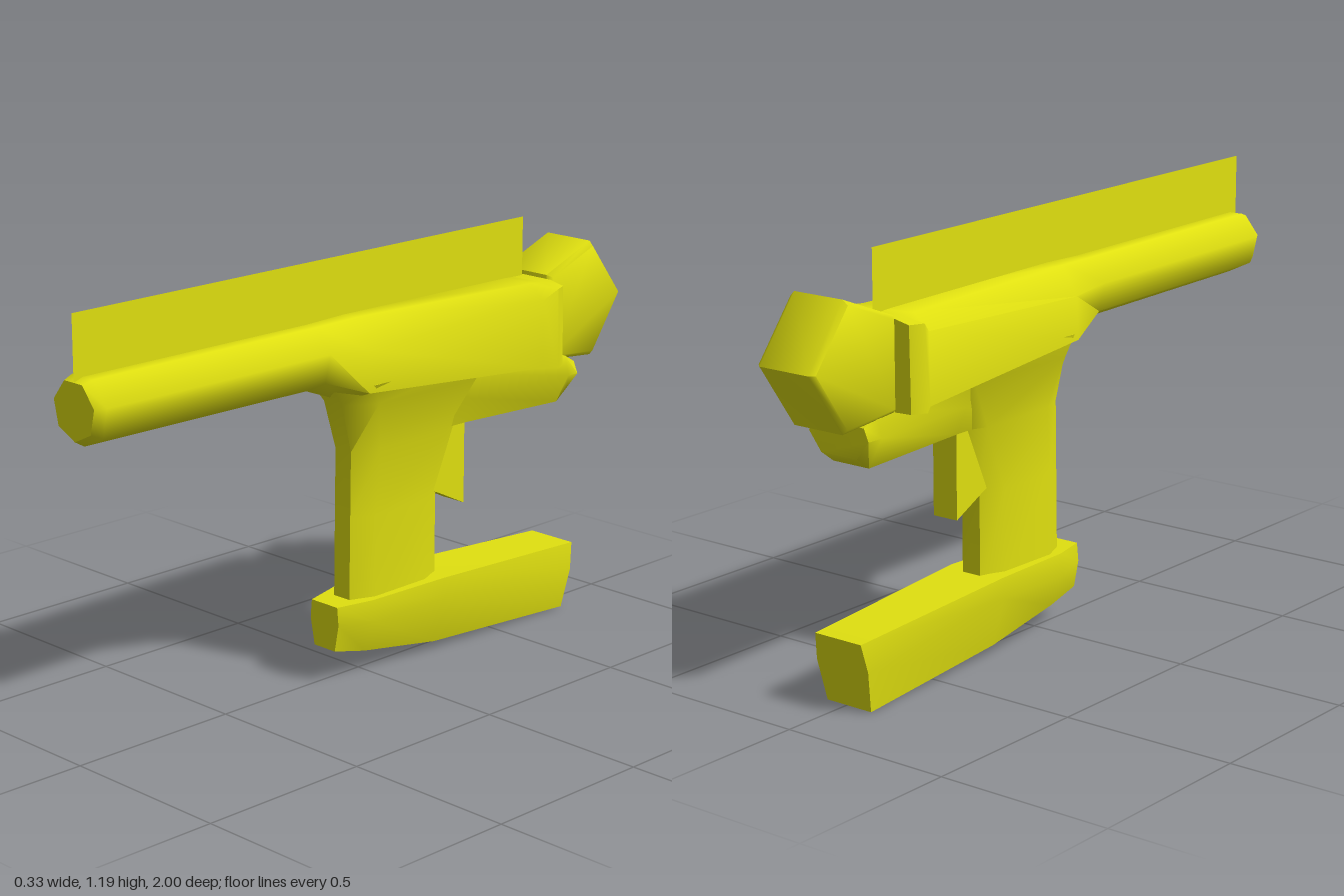
import * as THREE from 'three';
import { toCreasedNormals } from 'three/addons/utils/BufferGeometryUtils.js';

// Skin a list of rings (each counterclockwise seen from the first end) and cap both ends
function loft(rings, crease = 1.05) {
  const n = rings[0].length, pos = rings.flat(2), idx = [];
  for (let i = 0; i < rings.length - 1; i++) {
    for (let j = 0; j < n; j++) {
      const k = (j + 1) % n, a = i * n, b = a + n;
      idx.push(a + j, b + j, a + k, b + j, b + k, a + k);
    }
  }
  const last = (rings.length - 1) * n;
  for (let j = 1; j < n - 1; j++) {
    idx.push(0, j, j + 1, last, last + j + 1, last + j);
  }
  const g = new THREE.BufferGeometry();
  g.setAttribute('position', new THREE.Float32BufferAttribute(pos, 3));
  g.setIndex(idx);
  return toCreasedNormals(g, crease);
}

// Seven-sided ring across z: bottom point plus mirrored lower, upper and top corners
function bodyRing(z, cx, bottom, low, high, top) {
  const right = [low, high, top];
  const left = [...right].reverse();
  return [
    [cx, bottom, z],
    ...right.map(([x, y]) => [cx + x, y, z]),
    ...left.map(([x, y]) => [cx - x, y, z]),
  ];
}

// Regular heptagon ring with a flat top
function barrelRing(z, cx, cy, r) {
  return Array.from({ length: 7 }, (_, i) => {
    const a = -Math.PI / 2 + (i * 2 * Math.PI) / 7;
    return [cx + r * Math.cos(a), cy + r * Math.sin(a), z];
  });
}

// Eight-sided ring across y with bevelled front and rear
function gripRing(y, w, front, back, bevel, nose = 0.03) {
  return [
    [nose, y, front], [w, y, front - bevel], [w, y, back + bevel], [nose, y, back],
    [-nose, y, back], [-w, y, back + bevel], [-w, y, front - bevel], [-nose, y, front],
  ];
}

// Six-sided ring across z: lower edge, side edge, upper edge
function blockRing(z, cx, bottom, top, wBottom, wMid, wTop, mid = 0.5) {
  const y = bottom + (top - bottom) * mid;
  return [
    [cx + wBottom, bottom, z], [cx + wMid, y, z], [cx + wTop, top, z],
    [cx - wTop, top, z], [cx - wMid, y, z], [cx - wBottom, bottom, z],
  ];
}

export function createModel() {
  const model = new THREE.Group();
  const yellow = new THREE.MeshStandardMaterial({ color: 0xe0e010 });
  const yellowSheet = new THREE.MeshStandardMaterial({ color: 0xe0e010, side: THREE.DoubleSide });
  yellow.name = 'yellow';
  yellowSheet.name = 'yellow sheet';

  function add(name, geometry, material = yellow) {
    const mesh = new THREE.Mesh(geometry, material);
    mesh.name = name;
    model.add(mesh);
  }

  // Barrel widening into the receiver, with a flared rear rim
  add('barrelAndReceiver', loft([
    barrelRing(1.0, 0.02, 0.95, 0.08),
    barrelRing(0.97, 0.02, 0.947, 0.094),
    barrelRing(0.2, 0.005, 0.94, 0.096),
    bodyRing(0.06, 0, 0.79, [0.105, 0.83], [0.1, 0.95], [0.05, 1.03]),
    bodyRing(-0.6, 0, 0.775, [0.138, 0.785], [0.135, 0.98], [0.085, 1.022]),
    bodyRing(-0.64, 0, 0.775, [0.163, 0.78], [0.155, 1.01], [0.09, 1.02]),
    bodyRing(-0.68, 0, 0.775, [0.142, 0.78], [0.138, 1.01], [0.09, 1.02]),
  ]));

  // Sight blade, a thin sheet slightly skewed along the barrel
  const blade = new THREE.BufferGeometry();
  blade.setAttribute('position', new THREE.Float32BufferAttribute([
    0.022, 1.0, 1, -0.01, 1.0, -0.67, -0.01, 1.19, -0.67, 0.022, 1.197, 1,
  ], 3));
  blade.setIndex([0, 1, 2, 0, 2, 3]);
  blade.computeVertexNormals();
  add('sightBlade', blade, yellowSheet);

  // Grip flaring into the receiver
  add('grip', loft([
    gripRing(0.85, 0.108, 0.14, -0.5, 0.1, 0.04),
    gripRing(0.79, 0.095, 0.095, -0.45, 0.08, 0.035),
    gripRing(0.65, 0.063, 0.057, -0.36, 0.08),
    gripRing(0.46, 0.06, 0.06, -0.275, 0.07),
    gripRing(0.2, 0.06, 0.064, -0.275, 0.07),
  ]));

  // Rear spur of the grip with a slanted lower edge
  const spur = [[-0.2, 0.7], [-0.2, 0.5], [-0.275, 0.465], [-0.382, 0.412], [-0.382, 0.7]];
  const spurShape = new THREE.Shape(spur.map(([z, y]) => new THREE.Vector2(-z, y)));
  const spurGeo = new THREE.ExtrudeGeometry(spurShape, { depth: 0.08, bevelEnabled: false });
  spurGeo.translate(0, 0, -0.04).rotateY(Math.PI / 2);
  add('gripSpur', spurGeo);

  // Tang spreading backward under the receiver
  add('tang', loft([
    blockRing(-0.2, 0, 0.65, 0.8, 0.045, 0.065, 0.09),
    blockRing(-0.38, 0, 0.65, 0.8, 0.045, 0.07, 0.09),
    blockRing(-0.75, 0, 0.642, 0.785, 0.06, 0.105, 0.09, 0.6),
    blockRing(-0.795, 0, 0.675, 0.76, 0.06, 0.1, 0.085, 0.6),
  ]));

  // Five-sided rear bulb with slightly domed cheeks
  const side = [[-0.685, 0.78], [-0.88, 0.762], [-1.0, 0.935], [-0.87, 1.102], [-0.685, 1.03]];
  const bulbRing = (x, s) => side.map(([z, y]) => [
    x, 0.935 + (y - 0.935) * s, -0.84 + (z + 0.84) * s,
  ]).reverse();
  add('rearBulb', loft([
    bulbRing(0.085, 0.92), bulbRing(0.07, 1), bulbRing(-0.09, 1), bulbRing(-0.105, 0.92),
  ].map((r) => r.reverse()), 1.0));

  // Long foot below the grip, narrow in front
  add('foot', loft([
    blockRing(0.13, 0, 0.095, 0.225, 0.04, 0.055, 0.05, 0.6),
    blockRing(0.02, 0, 0.07, 0.227, 0.045, 0.085, 0.078, 0.6),
    blockRing(-0.25, 0, 0.03, 0.23, 0.055, 0.092, 0.092, 0.7),
    blockRing(-0.8, -0.008, 0.004, 0.197, 0.075, 0.088, 0.078, 0.6),
  ].map((ring, i) => (i === 3 ? ring.map(([x, y]) => [x, y, -0.782 - 0.2 * y]) : ring))));

  return model;
}
